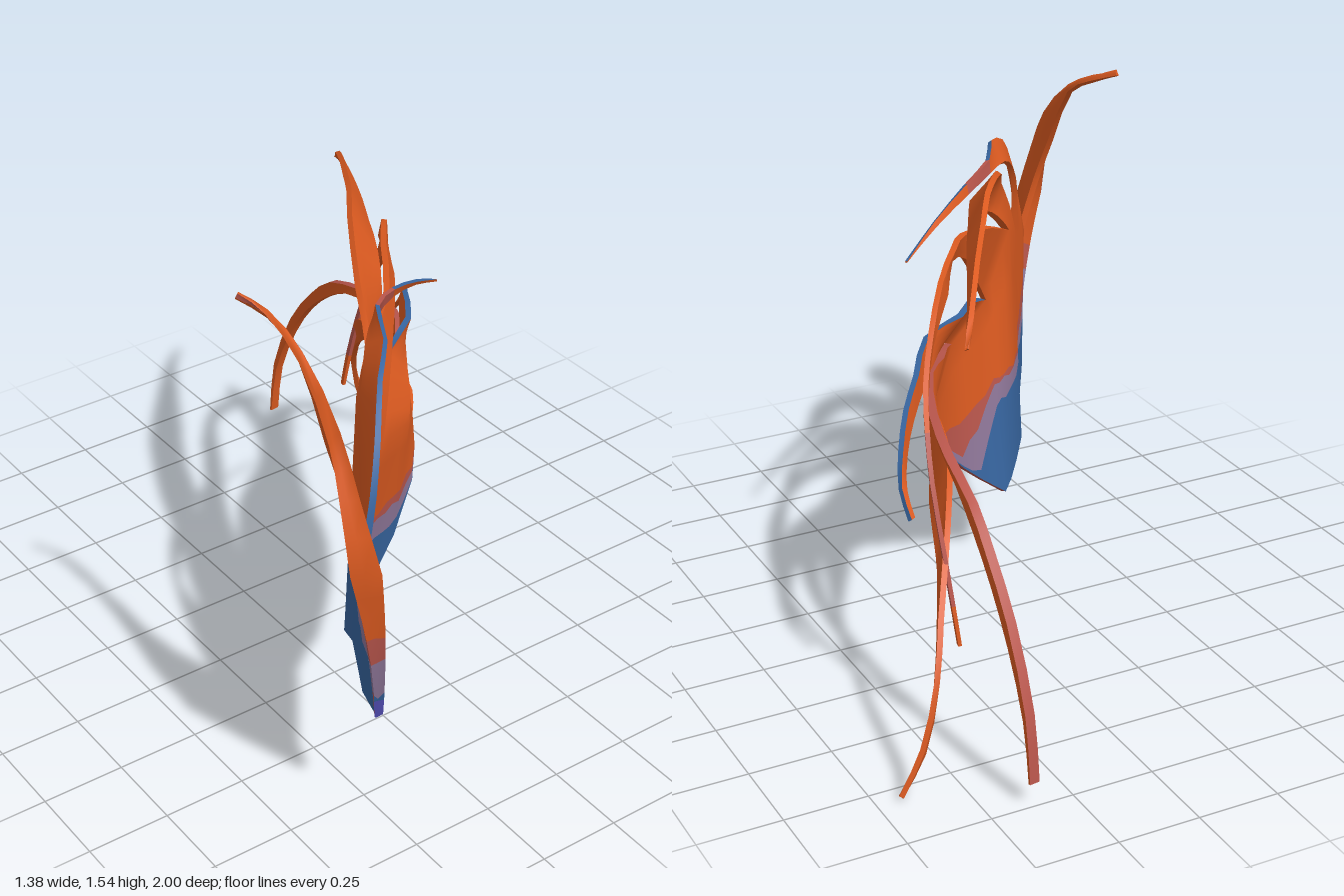
import * as THREE from 'three';

const mat = (name, color) => {
  const m = new THREE.MeshStandardMaterial({ color, side: THREE.DoubleSide });
  m.name = name;
  return m;
};
const mix = THREE.MathUtils.lerp;
const key = p => p.toArray().map(c => Math.round(c * 1e5)).join();

// Smooth surface through a grid rows[v][u]; pick(v) gives the material of each row
function grid(rows, flip, pick) {
  const nu = rows[0].length, idx = [], mats = [];
  const g = new THREE.BufferGeometry().setFromPoints(rows.flat());
  for (let v = 0; v < rows.length - 1; v++) {
    const start = idx.length, m = pick(v);
    for (let u = 0; u < nu - 1; u++) {
      const a = v * nu + u, b = a + 1, c = b + nu, d = a + nu;
      if (flip) idx.push(a, c, b, a, d, c);
      else idx.push(a, b, c, a, c, d);
    }
    if (!mats.includes(m)) mats.push(m);
    g.addGroup(start, idx.length - start, mats.indexOf(m));
  }
  g.setIndex(idx);
  g.computeVertexNormals();
  return new THREE.Mesh(g, mats);
}

// Rows of points across matching edge rails, rounded along their length
const SUB = 2;
function ribbon(rails, across) {
  const n = (rails[0].length - 1) * SUB, rows = [];
  const curves = rails.map(r => new THREE.CatmullRomCurve3(r.map(p => new THREE.Vector3(...p))));
  for (let v = 0; v <= n; v++) {
    const edge = curves.map(c => c.getPoint(v / n)), row = [edge[0]];
    for (let i = 1; i < edge.length; i++)
      for (let k = 1; k <= across; k++) row.push(edge[i - 1].clone().lerp(edge[i], k / across));
    rows.push(row);
  }
  return rows;
}

export function createModel() {
  const orange = mat('orange', 0xdb5a20), red = mat('dusty red', 0xb9564c), mauve = mat('mauve', 0x8f7799);
  const blue = mat('blue', 0x37659f), indigo = mat('indigo', 0x5a55c4);
  const crest = new THREE.Group();
  crest.name = 'crest';

  // Body columns from the front edge to the rear: bottom point, top point
  const cols = [
    [-0.575, 0.43, 0.90, -0.69, 0.97, 0.95],
    [-0.565, 0.43, 0.91, -0.63, 0.97, 0.99],
    [-0.53, 0.42, 0.80, -0.54, 0.91, 0.81],
    [-0.46, 0.395, 0.68, -0.475, 0.945, 0.715],
    [-0.385, 0.37, 0.55, -0.41, 0.98, 0.62],
    [-0.35, 0.335, 0.46, -0.345, 1.03, 0.52],
    [-0.29, 0.30, 0.38, -0.28, 1.08, 0.42],
    [-0.24, 0.27, 0.32, -0.23, 0.98, 0.40],
    [-0.20, 0.25, 0.28, -0.18, 0.88, 0.38],
    [-0.10, 0.33, 0.25, -0.09, 0.845, 0.32],
    [-0.02, 0.40, 0.22, 0, 0.81, 0.26],
    [0.09, 0.52, 0.16, 0.11, 0.73, 0.13],
    [0.15, 0.58, 0.09, 0.15, 0.58, 0.09],
  ];
  // Top heights of the indigo, blue, mauve and red bands in each column
  const outerBands = [
    [0.50, 0.52, 0.66, 0.75], [0.50, 0.52, 0.66, 0.75], [0.53, 0.55, 0.62, 0.71], [0.51, 0.52, 0.58, 0.66],
    [0.47, 0.53, 0.57, 0.63], [0.33, 0.535, 0.58, 0.60], [0, 0.52, 0.57, 0.595], [0, 0.50, 0.56, 0.585],
    [0, 0.49, 0.555, 0.58], [0, 0.47, 0.55, 0.58], [0, 0.46, 0.53, 0.57], [0, 0.52, 0.545, 0.57],
    [0, 0.58, 0.58, 0.58],
  ];
  // The inner face has no indigo, higher bands, and mauve running down the rear edge
  const innerBands = outerBands.map(b => [0, b[1] + 0.05, b[2] + 0.05, b[3] + 0.04]);
  innerBands[9] = [0, 0.36, 0.50, 0.57];
  innerBands[10] = [0, 0.40, 0.44, 0.55];
  innerBands[11] = [0, 0.52, 0.53, 0.56];

  function bodyRows(bands) {
    const rows = [[], [], [], [], [], [], [], []];
    for (let s = 0; s <= (cols.length - 1) * SUB; s++) {
      const i = Math.min(Math.floor(s / SUB), cols.length - 2), f = s / SUB - i;
      const c = cols[i].map((p, k) => mix(p, cols[i + 1][k], f));
      const height = c[4] - c[1], bulge = 0.025 * Math.max(0, 1 - s / (2 * SUB));
      let last = 0;
      const ts = bands[i].map((p, k) => {
        const y = mix(p, bands[i + 1][k], f) + 0.007 * Math.sin(s * 2.5 + k * 2);
        const t = height < 1e-4 ? 0 : THREE.MathUtils.clamp((y - c[1]) / height, 0, 1);
        last = k === 0 && i >= 5 ? 0 : Math.max(last, t);
        return last;
      });
      [0, ...ts, mix(last, 1, 0.33), mix(last, 1, 0.67), 1].forEach((t, v) => rows[v].push(new THREE.Vector3(
        mix(c[0], c[3], t), mix(c[1], c[4], t), mix(c[2], c[5], t) + bulge * Math.sin(Math.PI * t))));
    }
    return rows;
  }

  const parts = [];
  const bandMats = [indigo, blue, mauve, red, orange];
  const bodyMat = v => bandMats[Math.min(v, 4)];
  parts.push({ name: 'bodyOuter', rows: bodyRows(outerBands), tip: 0.02, outer: bodyMat, edge: v => (v < 2 ? red : bodyMat(v)) });
  parts.push({ name: 'bodyInner', rows: bodyRows(innerBands), tip: 0.02, inner: bodyMat });

  // Strand of the given tip thickness; accent = [from, to) rail segments in red; edge = colour of its upper rim
  function strand(name, rails, { across = 4, tip = 0.014, accent = [99, 99], edge = orange } = {}) {
    const face = v => (v >= accent[0] * SUB && v < accent[1] * SUB ? red : orange);
    parts.push({ name, rows: ribbon(rails, across), tip, outer: face, inner: face, edge: v => (face(v) === red ? red : edge), strand: true });
  }
  strand('frontStrand', [
    [[-0.69, 0.97, 0.95], [-0.68, 1.16, 0.89], [-0.65, 1.27, 0.81], [-0.622, 1.42, 0.64], [-0.635, 1.5, 0.5], [-0.675, 1.535, 0.43]],
    [[-0.63, 0.97, 0.99], [-0.645, 1.16, 0.915], [-0.63, 1.3, 0.81], [-0.615, 1.44, 0.63], [-0.63, 1.505, 0.5], [-0.67, 1.535, 0.425]],
    [[-0.54, 0.91, 0.81], [-0.59, 1.08, 0.8], [-0.61, 1.23, 0.74], [-0.608, 1.43, 0.61], [-0.622, 1.49, 0.5], [-0.67, 1.525, 0.42]],
  ], { across: 2, edge: red });
  strand('shortStrand', [
    [[-0.54, 0.91, 0.81], [-0.51, 1.05, 0.8], [-0.46, 1.18, 0.75], [-0.38, 1.29, 0.65], [-0.29, 1.33, 0.55],
      [-0.2, 1.33, 0.39], [-0.08, 1.3, 0.3], [0.07, 1.235, 0.21], [0.2, 1.16, 0.13]],
    [[-0.41, 0.98, 0.62], [-0.41, 1.1, 0.61], [-0.395, 1.18, 0.59], [-0.365, 1.235, 0.56], [-0.3, 1.28, 0.48],
      [-0.2, 1.29, 0.38], [-0.08, 1.27, 0.29], [0.07, 1.22, 0.2], [0.2, 1.155, 0.13]],
  ], { accent: [5, 6], tip: 0.008, edge: blue });
  strand('topStrand', [
    [[-0.41, 0.98, 0.62], [-0.35, 1.11, 0.55], [-0.28, 1.22, 0.47], [-0.18, 1.33, 0.27], [-0.05, 1.405, 0.05],
      [0.04, 1.41, -0.08], [0.12, 1.38, -0.21], [0.22, 1.335, -0.37], [0.33, 1.26, -0.55], [0.38, 1.2, -0.62]],
    [[-0.28, 1.08, 0.42], [-0.235, 1.13, 0.38], [-0.18, 1.18, 0.34], [-0.07, 1.25, 0.22], [-0.01, 1.31, 0.12],
      [0.08, 1.31, -0.05], [0.15, 1.305, -0.18], [0.23, 1.29, -0.34], [0.32, 1.25, -0.52], [0.375, 1.2, -0.62]],
  ]);
  strand('archedStrand', [
    [[-0.28, 1.08, 0.42], [-0.16, 1.15, 0.3], [0, 1.2, 0.16], [0.12, 1.235, -0.02], [0.24, 1.21, -0.18], [0.33, 1.11, -0.3],
      [0.39, 1.01, -0.39], [0.42, 0.9, -0.46], [0.44, 0.78, -0.53], [0.44, 0.6, -0.6], [0.432, 0.45, -0.64], [0.42, 0.33, -0.655]],
    [[-0.18, 0.88, 0.38], [-0.11, 0.99, 0.31], [-0.03, 1.1, 0.22], [0.1, 1.17, 0.05], [0.22, 1.165, -0.17], [0.32, 1.07, -0.28],
      [0.38, 0.96, -0.37], [0.41, 0.87, -0.44], [0.43, 0.77, -0.505], [0.435, 0.6, -0.58], [0.428, 0.45, -0.62], [0.418, 0.33, -0.64]],
  ], { accent: [7, 10], tip: 0.01 });
  strand('middleStrand', [
    [[-0.18, 0.88, 0.38], [-0.07, 0.94, 0.25], [0.03, 0.96, 0.12], [0.2, 0.97, 0], [0.32, 0.94, -0.18],
      [0.4, 0.89, -0.28], [0.46, 0.81, -0.37], [0.49, 0.73, -0.43], [0.49, 0.66, -0.49]],
    [[0, 0.81, 0.26], [0.05, 0.85, 0.2], [0.1, 0.88, 0.12], [0.2, 0.895, -0.03], [0.34, 0.87, -0.22],
      [0.41, 0.82, -0.31], [0.455, 0.76, -0.38], [0.475, 0.72, -0.43], [0.475, 0.66, -0.48]],
  ], { edge: blue });
  strand('longStrand', [
    [[0, 0.81, 0.26], [0.06, 0.845, 0.17], [0.14, 0.88, 0.03], [0.24, 0.9, -0.1], [0.315, 0.86, -0.28], [0.35, 0.81, -0.45],
      [0.367, 0.75, -0.63], [0.374, 0.65, -0.75], [0.374, 0.5, -0.87], [0.372, 0.27, -0.975], [0.369, 0.07, -1]],
    [[0.11, 0.73, 0.13], [0.15, 0.76, 0.06], [0.2, 0.785, -0.03], [0.26, 0.805, -0.16], [0.325, 0.8, -0.36], [0.355, 0.755, -0.53],
      [0.37, 0.67, -0.67], [0.376, 0.57, -0.78], [0.376, 0.43, -0.88], [0.374, 0.25, -0.965], [0.37, 0.07, -0.993]],
  ], { across: 2, tip: 0.032, edge: red });
  strand('rearStrand', [
    [[0.11, 0.73, 0.13], [0.17, 0.75, 0.05], [0.23, 0.765, -0.13], [0.3, 0.75, -0.35], [0.36, 0.69, -0.47],
      [0.43, 0.59, -0.59], [0.5, 0.46, -0.7], [0.555, 0.32, -0.785], [0.615, 0.14, -0.815], [0.68, 0.01, -0.815]],
    [[0.15, 0.58, 0.09], [0.2, 0.6, -0.04], [0.28, 0.62, -0.2], [0.36, 0.62, -0.36], [0.415, 0.58, -0.5],
      [0.44, 0.53, -0.57], [0.49, 0.44, -0.67], [0.545, 0.29, -0.76], [0.605, 0.12, -0.8], [0.675, 0, -0.8]],
  ], { across: 2 });

  // Shared normals, so that strands flow out of the body without a seam
  const normals = new Map();
  for (const { rows } of parts) {
    const n = grid(rows, false, () => orange).geometry.attributes.normal;
    rows.flat().forEach((p, i) => {
      const k = key(p);
      if (!normals.has(k)) normals.set(k, new THREE.Vector3());
      normals.get(k).add(new THREE.Vector3().fromBufferAttribute(n, i));
    });
  }
  normals.forEach(n => n.normalize());

  // Thin slabs: outer and inner faces, then rims along the open edges
  for (const { name, rows, tip, outer, inner, edge, strand: isStrand } of parts) {
    const part = new THREE.Group();
    part.name = name;
    const offset = side => rows.map((row, v) => row.map(p =>
      p.clone().addScaledVector(normals.get(key(p)), side * mix(0.02, tip, v / (rows.length - 1)) / 2)));
    const add = (label, mesh) => { mesh.name = label; part.add(mesh); return mesh; };
    const front = offset(1), back = offset(-1);
    for (const [label, pts, side, pick] of [['outerFace', front, 1, outer], ['innerFace', back, -1, inner]]) {
      if (!pick) continue;
      const n = add(label, grid(pts, side < 0, pick)).geometry.attributes.normal;
      rows.flat().forEach((p, i) => n.setXYZ(i, ...normals.get(key(p)).clone().multiplyScalar(side)));
    }
    const end = rows[0].length - 1, top = rows.length - 1;
    if (edge) add('upperRim', grid(front.map((r, v) => [back[v][0], r[0]]), false, edge));
    if (isStrand) {
      add('lowerRim', grid(front.map((r, v) => [r[end], back[v][end]]), false, outer));
      add('tip', grid([front[top], back[top]], false, () => outer(top - 1)));
    } else if (edge) {
      // Bottom rim, red along the rear slope
      add('bottomRim', grid(front[0].map((p, u) => [p, back[0][u]]), true, u => (u < 8 * SUB ? blue : red)));
    }
    crest.add(part);
  }
  return crest;
}
